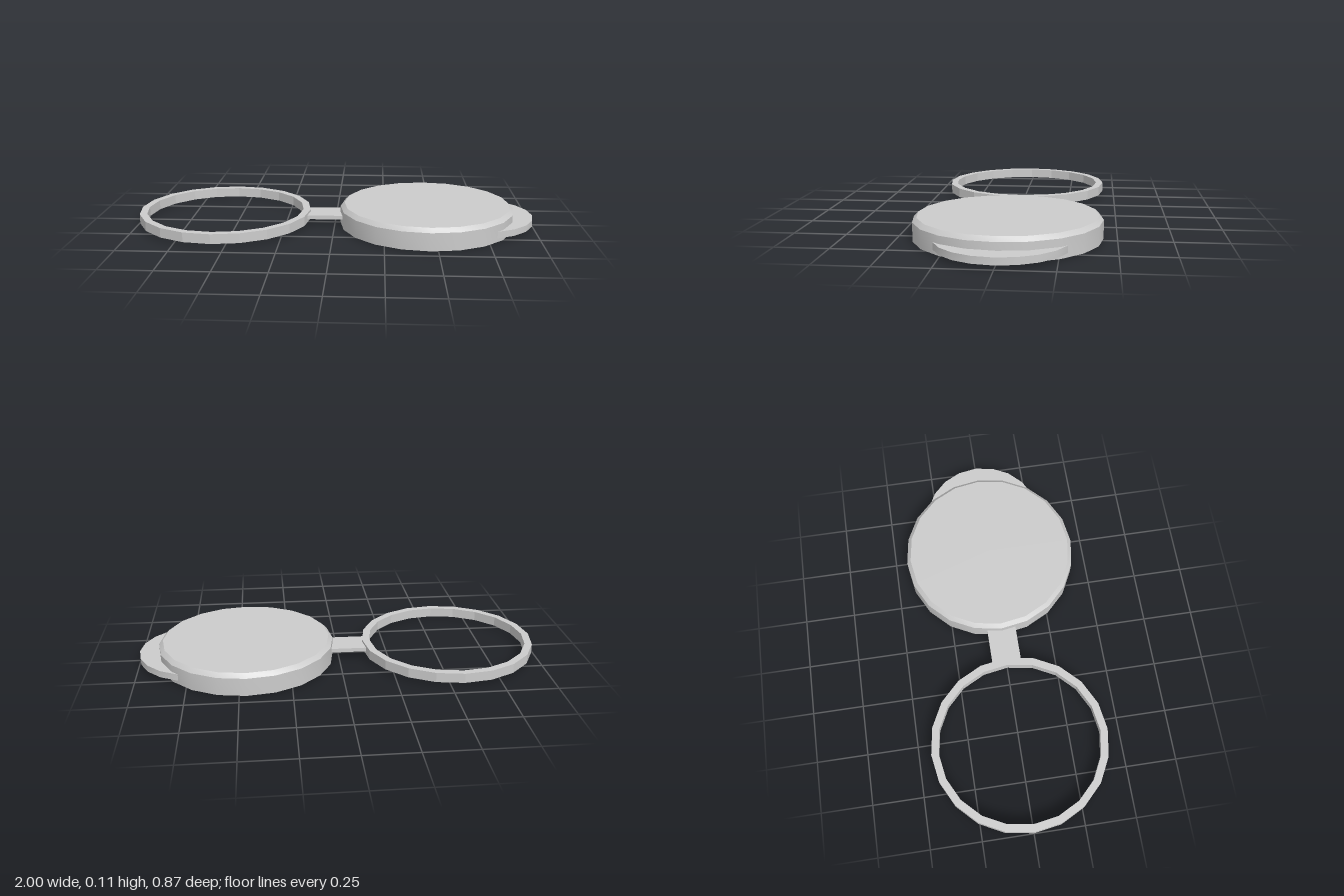
import * as THREE from 'three';
import { toCreasedNormals } from 'three/addons/utils/BufferGeometryUtils.js';

const SIDES = 20;

export function createModel() {
  const group = new THREE.Group();
  const material = new THREE.MeshStandardMaterial({ color: 0xcccccc });

  function add(name, geometry, x, y, crease) {
    const mesh = new THREE.Mesh(toCreasedNormals(geometry, crease), material);
    mesh.name = name;
    mesh.position.set(x, y, 0);
    group.add(mesh);
  }
  const lathe = (profile) =>
    new THREE.LatheGeometry(profile.map(([r, y]) => new THREE.Vector2(r, y)), SIDES);

  // Lid with a chamfered top edge and a shallow recess underneath
  add('lid', lathe([
    [0, 0.018], [0.405, 0.018], [0.405, 0], [0.437, 0],
    [0.437, 0.088], [0.417, 0.108], [0, 0.108],
  ]), 0.465, 0, 0.5);

  // Open retaining ring
  add('retainingRing', lathe([
    [0.4, 0.018], [0.437, 0.018], [0.437, 0.066], [0.4, 0.066], [0.4, 0.018],
  ]), -0.563, 0, 0.2);

  // Flat strap joining ring and lid
  add('hingeStrap', new THREE.BoxGeometry(0.2, 0.02, 0.146), -0.045, 0.045, 0.2);

  // Rounded thumb tab let into the side of the lid
  add('thumbTab', new THREE.CylinderGeometry(0.3, 0.3, 0.033, SIDES), 0.7, 0.0355, 0.5);

  return group;
}
